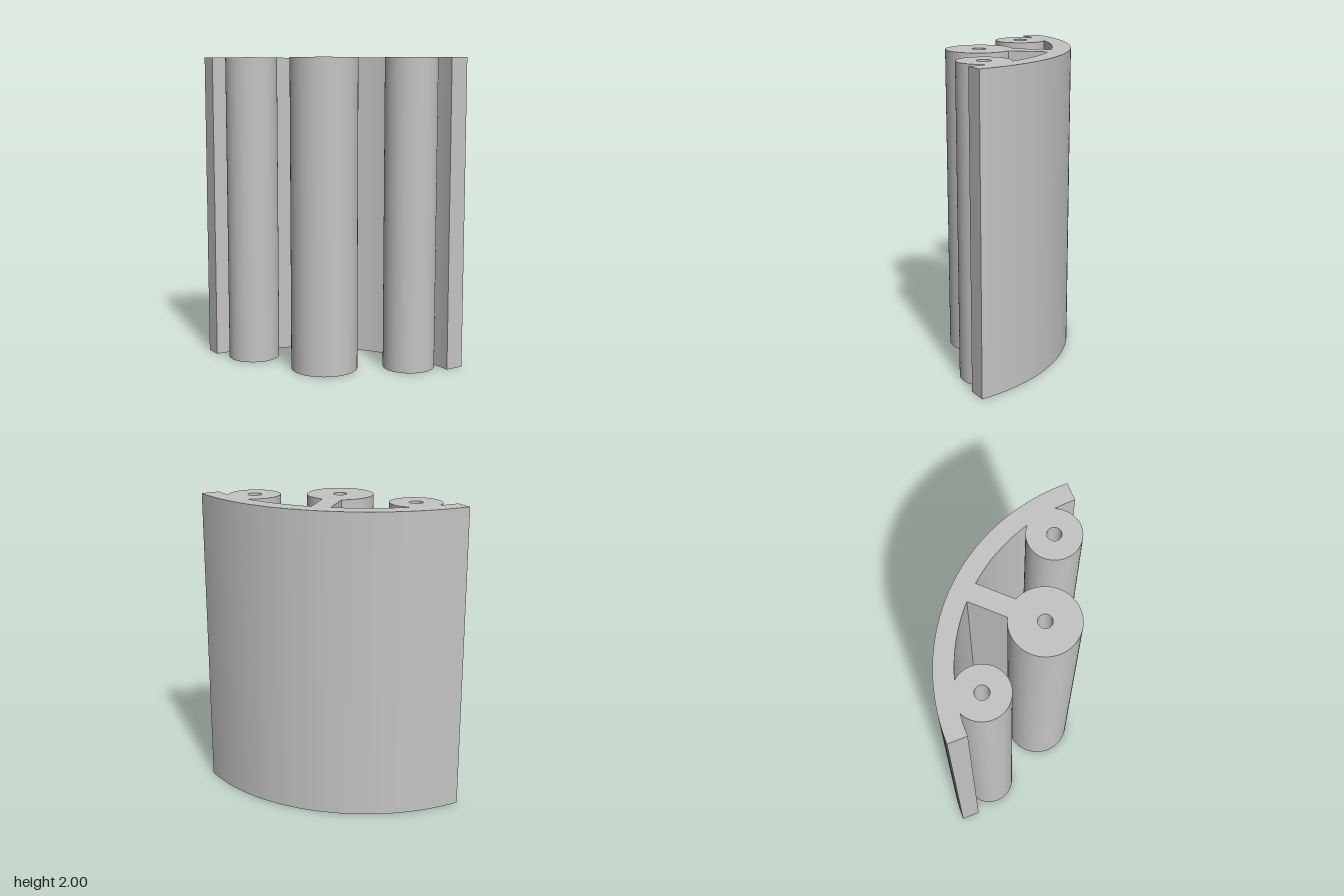
import * as THREE from 'three';
import { toCreasedNormals } from 'three/addons/utils/BufferGeometryUtils.js';

const HEIGHT = 2;
const OFFSET = -0.615;          // centre of the curved wall in plan, on both axes
const OUTER = 1.23, INNER = 1.11;
const HOLE = 0.044, HOLE_DEPTH = 0.4;
const rad = THREE.MathUtils.degToRad;

// Posts in polar form about the wall centre
const SIDE = { dist: 0.969, radius: 0.168 };
const CENTRE = { dist: 0.653, radius: 0.215 };
const WEB_HALF = 0.0615;
const posts = [
  { name: 'backPost', angle: rad(78), ...SIDE },
  { name: 'centrePost', angle: rad(45), ...CENTRE },
  { name: 'frontPost', angle: rad(12), ...SIDE },
];

const polar = (r, a) => new THREE.Vector2(r * Math.cos(a), r * Math.sin(a));

// Half-angle, seen from the wall centre, where a side post meets the inner wall
const meet = Math.acos((INNER ** 2 + SIDE.dist ** 2 - SIDE.radius ** 2) / (2 * INNER * SIDE.dist));

function bodyOutline() {
  const s = new THREE.Shape();
  s.absarc(0, 0, OUTER, 0, Math.PI / 2, false);
  let from = Math.PI / 2;
  for (const p of posts) {
    const c = polar(p.dist, p.angle);
    const isCentre = p.name === 'centrePost';
    const half = isCentre ? Math.asin(WEB_HALF / INNER) : meet;
    s.absarc(0, 0, INNER, from, p.angle + half, true);
    // Round the post; the centre one is reached along the straight web
    let start, end;
    if (isCentre) {
      const v = Math.asin(WEB_HALF / p.radius);
      start = p.angle + v;
      end = p.angle - v + Math.PI * 2;
    } else {
      start = polar(INNER, p.angle + half).sub(c).angle();
      end = polar(INNER, p.angle - half).sub(c).angle();
      if (end < start) end += Math.PI * 2;
    }
    s.absarc(c.x, c.y, p.radius, start, end, false);
    from = p.angle - half;
  }
  s.absarc(0, 0, INNER, from, 0, true);
  s.closePath();

  // Screw holes
  for (const p of posts) {
    const c = polar(p.dist, p.angle);
    s.holes.push(new THREE.Path().absarc(c.x, c.y, HOLE, 0, Math.PI * 2, true));
  }
  return s;
}

export function createModel() {
  const group = new THREE.Group();
  group.name = 'curvedProfile';
  const grey = new THREE.MeshStandardMaterial({ color: 0xc4c4c4 });
  grey.name = 'grey';

  // Curved wall, web and posts as one extrusion
  const geo = new THREE.ExtrudeGeometry(bodyOutline(), {
    depth: HEIGHT, bevelEnabled: false, curveSegments: 48,
  });
  geo.rotateX(-Math.PI / 2);
  geo.translate(OFFSET, 0, -OFFSET);
  const body = new THREE.Mesh(toCreasedNormals(geo, 0.5), grey);
  body.name = 'profileBody';
  group.add(body);

  // Solid cores leave a blind hole at each end of every post
  for (const p of posts) {
    const c = polar(p.dist, p.angle);
    const core = new THREE.Mesh(
      new THREE.CylinderGeometry(HOLE, HOLE, HEIGHT - 2 * HOLE_DEPTH, 48), grey);
    core.name = p.name + 'Core';
    core.position.set(c.x + OFFSET, HEIGHT / 2, -c.y - OFFSET);
    group.add(core);
  }
  return group;
}
